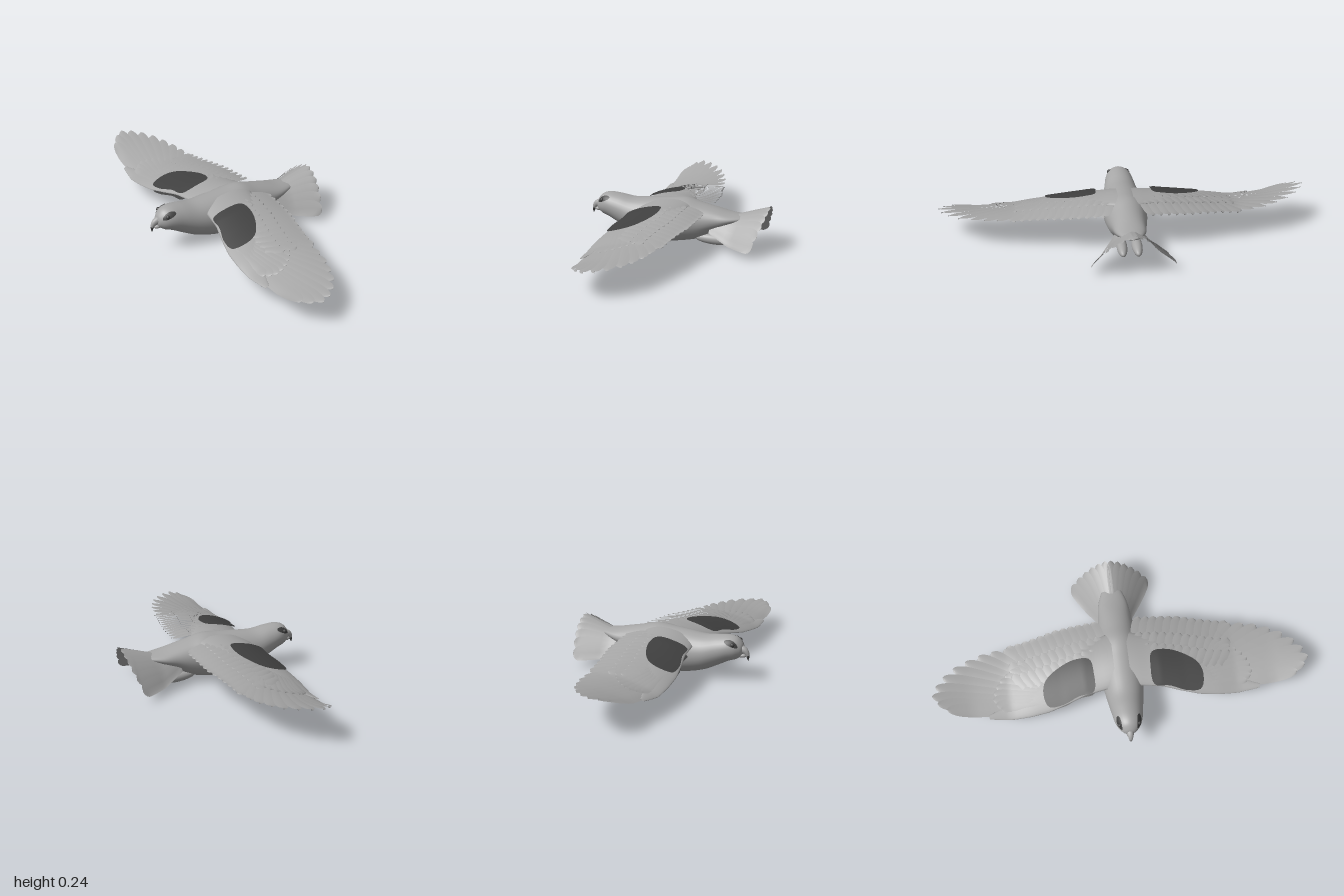
import * as THREE from 'three';
import { mergeGeometries, mergeVertices } from 'three/addons/utils/BufferGeometryUtils.js';

const V = (x, y, z) => new THREE.Vector3(x, y, z);
const lerp = THREE.MathUtils.lerp;
const clamp = THREE.MathUtils.clamp;

// Smooth surface from a rule fn(u, v), with u and v from 0 to 1
function grid(nu, nv, fn) {
  const pos = [], index = [];
  for (let i = 0; i <= nu; i++)
    for (let j = 0; j <= nv; j++) pos.push(...fn(i / nu, j / nv).toArray());
  for (let i = 0; i < nu; i++)
    for (let j = 0; j < nv; j++) {
      const a = i * (nv + 1) + j, b = a + nv + 1;
      index.push(a, a + 1, b, b, a + 1, b + 1);
    }
  let g = new THREE.BufferGeometry();
  g.setAttribute('position', new THREE.Float32BufferAttribute(pos, 3));
  g.setIndex(index);
  g = mergeVertices(g, 1e-5);
  g.computeVertexNormals();
  return g;
}

// Straight-line lookup in a small table
function table(xs, ys, x) {
  let i = 0;
  while (i < xs.length - 2 && x > xs[i + 1]) i++;
  return lerp(ys[i], ys[i + 1], clamp((x - xs[i]) / (xs[i + 1] - xs[i]), 0, 1));
}

// Body stations: x, top, bottom, half width
const stations = [
  [-0.47, 0.172, 0.168, 0.002], [-0.465, 0.188, 0.152, 0.018], [-0.455, 0.21, 0.138, 0.036],
  [-0.43, 0.234, 0.12, 0.058], [-0.39, 0.243, 0.105, 0.074], [-0.33, 0.238, 0.073, 0.085],
  [-0.25, 0.226, 0.034, 0.098], [-0.15, 0.232, 0.007, 0.112], [-0.05, 0.24, 0.001, 0.117],
  [0.04, 0.245, 0.012, 0.113], [0.12, 0.225, 0.032, 0.102], [0.2, 0.205, 0.075, 0.09],
  [0.28, 0.185, 0.115, 0.078], [0.36, 0.174, 0.148, 0.045], [0.4, 0.17, 0.166, 0.004]];
const spine = new THREE.CatmullRomCurve3(stations.map(s => V(s[0], s[1], s[2])), false, 'catmullrom');
const girth = new THREE.CatmullRomCurve3(stations.map(s => V(s[3], s[0], 0)), false, 'catmullrom');
function bodyPoint(u, a, out = 0) {
  const p = spine.getPoint(u), w = girth.getPoint(u).x;
  return V(p.x, (p.y + p.z) / 2 + ((p.y - p.z) / 2 + out) * Math.sin(a), (w + out) * Math.cos(a));
}

// Wing plan and height, by distance from the body
const Z = [0.05, 0.2, 0.3, 0.4, 0.5, 0.6, 0.7, 0.8, 0.9, 1];
const lead = z => table(Z, [-0.21, -0.23, -0.26, -0.285, -0.295, -0.295, -0.285, -0.265, -0.235, -0.19], z);
const trail = z => table(Z, [0.16, 0.15, 0.14, 0.115, 0.095, 0.085, 0.065, 0.035, -0.01, -0.1], z);
const HZ = [0.05, 0.2, 0.4, 0.6, 0.8, 1];
function wingY(x, z, side) {
  const t = clamp((x - lead(z)) / (trail(z) - lead(z)), 0, 1);
  const y0 = table(HZ, [0.18, 0.165, 0.122, 0.095, 0.105, 0.138], z);
  const y1 = table(HZ, [0.195, 0.188, 0.175, 0.155, 0.145, 0.138], z);
  const camber = table(HZ, [0.03, 0.033, 0.03, 0.022, 0.012, 0], z);
  const lift = side < 0 ? 0.068 * Math.pow(Math.max(0, (z - 0.6) / 0.4), 1.4) : 0;
  return lerp(y0, y1, t) + camber * 4 * t * (1 - t) + lift;
}
const armThick = z => table([0.05, 0.15, 0.45, 0.72], [0.024, 0.016, 0.011, 0.003], z);

// One feather blade in plan from root to tip, with a rounded end, laid on a height rule
function feather(root, tip, w, height, tilt = 0.004, side = 1) {
  const dx = tip[0] - root[0], dz = tip[1] - root[1], len = Math.hypot(dx, dz);
  return grid(14, 4, (s, v) => {
    s = 1 - (1 - s) ** 1.6;
    const u = v * 2 - 1, round = clamp((s - 0.8) / 0.2, 0, 1);
    const hw = w * (0.6 + 0.4 * Math.min(1, s * 1.5)) * Math.sqrt(1 - round * round);
    const x = root[0] + dx * s - dz / len * hw * u, z = root[1] + dz * s + dx / len * hw * u;
    return V(x, height(x, z) + tilt * u + 0.002 * (1 - u * u), z * side);
  });
}

export function createModel() {
  const group = new THREE.Group();
  const plumage = new THREE.MeshStandardMaterial({ color: 0xa6a6a6, side: THREE.DoubleSide });
  plumage.name = 'grey plumage';
  const dark = new THREE.MeshStandardMaterial({ color: 0x404040, side: THREE.DoubleSide });
  dark.name = 'dark markings';
  const add = (name, geo, mat) => {
    const m = new THREE.Mesh(geo, mat);
    m.name = name;
    group.add(m);
    return m;
  };

  add('body', grid(70, 32, (u, v) => bodyPoint(u, v * Math.PI * 2 - Math.PI / 2)), plumage);

  // Hooked beak with a dark tip
  const hook = new THREE.CatmullRomCurve3([V(-0.435, 0.178, 0), V(-0.472, 0.171, 0), V(-0.489, 0.15, 0), V(-0.494, 0.117, 0)]);
  const beakPart = (s0, s1) => grid(10, 14, (u, v) => {
    const s = lerp(s0, s1, u), p = hook.getPoint(s), d = hook.getTangent(s);
    const r = 0.026 * Math.pow(1 - s, 0.8), a = -v * Math.PI * 2;
    return V(p.x - d.y * r * Math.cos(a), p.y + d.x * r * Math.cos(a), r * Math.sin(a) * 0.9);
  });
  add('beak', beakPart(0, 0.72), plumage);
  add('beakTip', beakPart(0.72, 1), dark);
  const jaw = add('lowerBeak', new THREE.SphereGeometry(1, 16, 10), plumage);
  jaw.scale.set(0.027, 0.012, 0.019);
  jaw.position.set(-0.457, 0.144, 0);

  // Tail: arched fan
  const tailY = (x, z) => {
    const half = lerp(0.085, 0.23, clamp((x - 0.2) / 0.26, 0, 1));
    const a = Math.min(1.05, Math.abs(z) / half);
    return 0.168 + Math.max(0, x - 0.3) * 0.3 - lerp(0.08, 0.165, clamp((x - 0.2) / 0.25, 0, 1)) * a ** 1.6;
  };
  const fan = [];
  for (let i = 0; i < 12; i++) {
    const a = (i / 11) * 2 - 1;
    fan.push(feather([0.19, 0.07 * a], [0.497 - 0.05 * a * a, 0.208 * a], 0.028, tailY, a < 0 ? 0.004 : -0.004));
  }
  add('tailFeathers', mergeGeometries(fan), plumage);

  const tips = [[-0.222, 0.93], [-0.19, 0.975], [-0.15, 1], [-0.1, 0.98], [-0.05, 0.94],
    [-0.005, 0.885], [0.028, 0.82], [0.055, 0.75], [0.07, 0.68], [0.08, 0.61]];
  const patchEdge = new THREE.CatmullRomCurve3([[-0.222, 0.16], [-0.13, 0.15], [-0.055, 0.165], [-0.045, 0.24], [-0.075, 0.33],
    [-0.13, 0.405], [-0.19, 0.425], [-0.262, 0.405], [-0.265, 0.33], [-0.235, 0.24]].map(p => V(p[0], 0, p[1])), true);

  for (const side of [1, -1]) {
    const name = side > 0 ? 'front' : 'back';
    const on = lift => (x, z) => wingY(x, z, side) + lift;

    // Fleshy leading part of the wing
    add(name + 'WingArm', grid(24, 24, (u, v) => {
      const z = lerp(0.04, 0.72, u), a = v * Math.PI * 2;
      const t = table([0.04, 0.4, 0.72], [0.4, 0.26, 0.03], z) * (1 - Math.cos(a));
      const x = lerp(lead(z), trail(z), t);
      return V(x, wingY(x, z, side) + armThick(z) * Math.sin(a), side * z);
    }), plumage);

    // Long outer feathers with short coverts over their bases
    const outer = [], inner = [], coverts = [];
    tips.forEach((tip, i) => {
      const k = i / 9, root = [lerp(-0.25, -0.1, k), lerp(0.42, 0.46, k)];
      outer.push(feather(root, tip, 0.035, on(0), -0.004, side));
      const short = f => [lerp(root[0], tip[0], f), lerp(root[1], tip[1], f)];
      coverts.push(feather(root, short(0.46), 0.026, on(0.007), -0.003, side));
      coverts.push(feather(root, short(0.36), 0.026, on(-0.007), -0.003, side));
    });
    // Inner flight feathers and their covert rows
    for (let i = 0; i < 12; i++) {
      const z = 0.09 + i * 0.042, at = t => lerp(lead(z), trail(z), t);
      inner.push(feather([-0.08, z - 0.03], [trail(z) + 0.008, z + 0.035], 0.031, on(0), -0.004, side));
      coverts.push(feather([-0.12, z - 0.03], [at(0.76), z + 0.03], 0.027, on(0.007), -0.003, side));
      coverts.push(feather([-0.15, z - 0.03], [at(0.58), z + 0.025], 0.025, on(0.011), -0.003, side));
      coverts.push(feather([-0.12, z - 0.03], [at(0.68), z + 0.03], 0.027, on(-0.007), -0.003, side));
    }
    add(name + 'OuterFlightFeathers', mergeGeometries(outer), plumage);
    add(name + 'InnerFlightFeathers', mergeGeometries(inner), plumage);
    add(name + 'Coverts', mergeGeometries(coverts), plumage);

    // Dark shoulder patch, also beneath the back wing
    for (const face of side > 0 ? [1] : [1, -1])
      add(name + (face > 0 ? 'WingPatch' : 'WingUnderPatch'), grid(10, 48, (r, v) => {
        const e = patchEdge.getPoint(v % 1);
        const x = lerp(-0.15, e.x, r), z = lerp(0.28, e.z, r);
        return V(x, wingY(x, z, side) + face * (Math.max(armThick(z), 0.013) + 0.004), side * z);
      }), dark);

    // Eye and the dark mask round it
    add(name + 'EyeMask', grid(6, 28, (r, v) => {
      const c = r * Math.cos(v * Math.PI * 2), s = r * Math.sin(v * Math.PI * 2);
      const p = bodyPoint((3.25 + 0.95 * c) / (stations.length - 1), 0.62 + 0.15 * c + 0.27 * s, 0.002);
      return V(p.x, p.y, p.z * side);
    }), dark);
    const eye = add(name + 'Eye', new THREE.SphereGeometry(0.011, 16, 12), dark);
    eye.position.set(-0.425, 0.207, side * 0.051);

    // Tucked leg
    const leg = add(name + 'Leg', new THREE.SphereGeometry(1, 24, 16), plumage);
    leg.scale.set(0.105, 0.028, 0.028);
    leg.position.set(0.2, 0.038, side * 0.04);
    leg.rotation.z = -0.06;
  }

  group.rotation.y = -0.03;
  return group;
}
